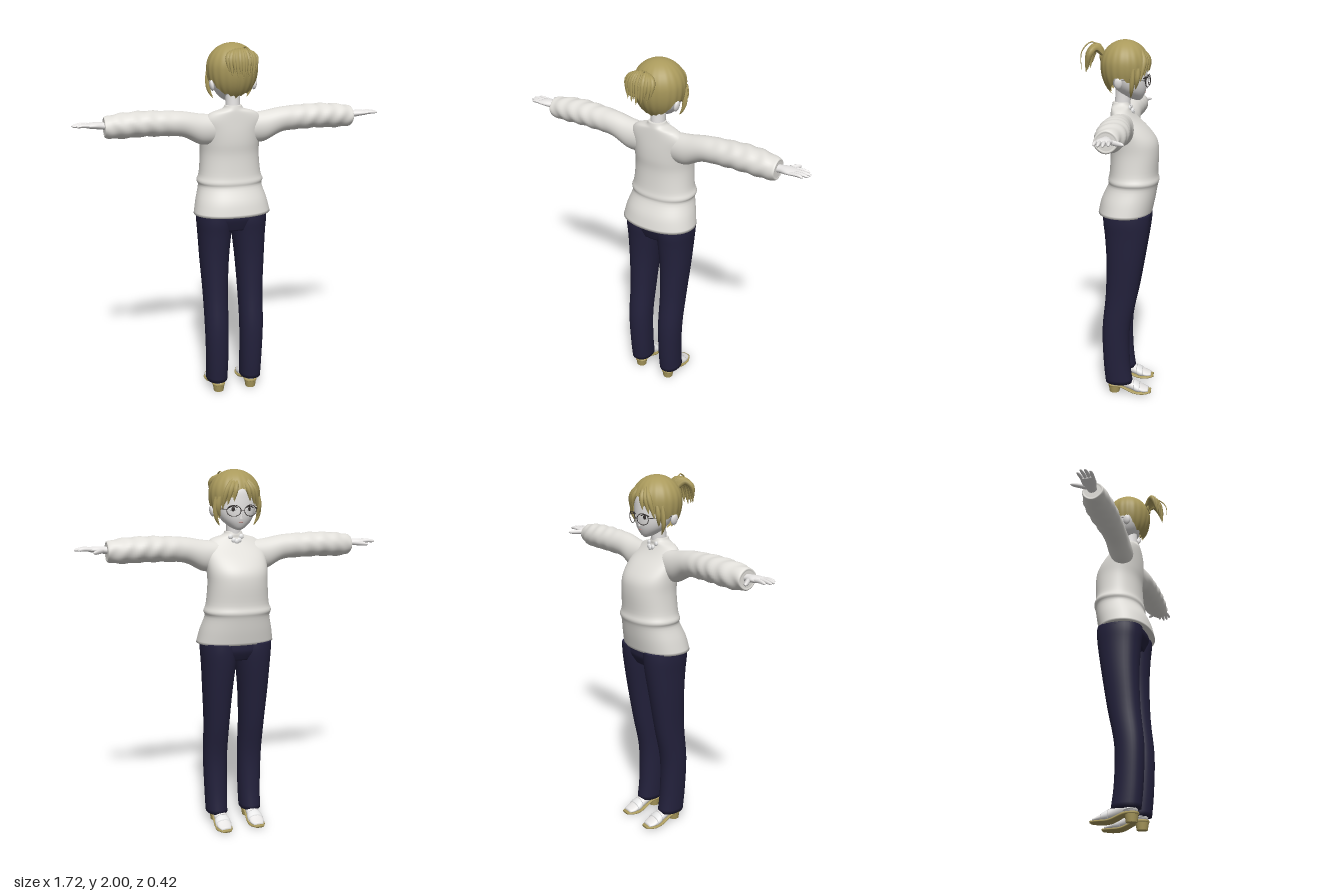
import * as THREE from 'three';

const mat = (name, color, side = THREE.FrontSide) => {
  const m = new THREE.MeshStandardMaterial({ color, side });
  m.name = name;
  return m;
};

// Smooth interpolation through the section rows
function resample(rows, steps) {
  const out = [], n = rows.length - 1;
  for (let i = 0; i < n; i++) {
    for (let s = 0; s < steps; s++) {
      const t = s / steps;
      const p = rows[Math.max(i - 1, 0)], q = rows[i], r = rows[i + 1], w = rows[Math.min(i + 2, n)];
      out.push(q.map((v, k) => {
        const cubic = 3 * (v - r[k]) + w[k] - p[k];
        const square = 2 * p[k] - 5 * v + 4 * r[k] - w[k];
        return v + 0.5 * t * (r[k] - p[k] + t * (square + t * cubic));
      }));
    }
  }
  out.push(rows[n]);
  return out;
}

// Closed skin over sections [h, a, b, ra, rb]; axis y: a = x, b = z; axis x: a = y, b = z
function loft(rows, { axis = 'y', sides = 32, steps = 4, power = 2, wrinkle = () => 0 } = {}) {
  const pos = [], index = [], secs = resample(rows, steps);
  const put = (h, a, b) => (axis === 'y' ? pos.push(a, h, b) : pos.push(h, a, b));
  const dir = axis === 'y' ? 1 : -1;
  const round = v => Math.sign(v) * Math.pow(Math.abs(v), 2 / power);
  for (const [h, a, b, ra, rb] of secs) {
    for (let j = 0; j < sides; j++) {
      const th = (j / sides) * Math.PI * 2, w = 1 + wrinkle(h, th);
      put(h, a + ra * w * round(Math.cos(th)), b + dir * rb * w * round(Math.sin(th)));
    }
  }
  const n = secs.length, first = n * sides;
  put(...secs[0]);
  put(...secs[n - 1]);
  for (let j = 0; j < sides; j++) {
    const k = (j + 1) % sides, top = (n - 1) * sides;
    for (let i = 0; i < n - 1; i++) {
      const r = i * sides, u = r + sides;
      index.push(r + j, u + j, r + k, u + j, u + k, r + k);
    }
    index.push(first, j, k, first + 1, top + k, top + j);
  }
  const g = new THREE.BufferGeometry();
  g.setAttribute('position', new THREE.Float32BufferAttribute(pos, 3));
  g.setIndex(index);
  g.computeVertexNormals();
  return g;
}

// Tube along points whose radius follows profile(t)
function strand(points, radius, profile, segs = 14, radial = 8) {
  const curve = new THREE.CatmullRomCurve3(points.map(p => new THREE.Vector3(...p)));
  const g = new THREE.TubeGeometry(curve, segs, radius, radial);
  const p = g.attributes.position, v = new THREE.Vector3();
  for (let i = 0; i < p.count; i++) {
    const t = Math.floor(i / (radial + 1)) / segs, c = curve.getPointAt(t);
    v.fromBufferAttribute(p, i).sub(c).multiplyScalar(profile(t)).add(c);
    p.setXYZ(i, v.x, v.y, v.z);
  }
  g.computeVertexNormals();
  return g;
}
const lock = t => Math.sqrt(Math.max(1 - t * t, 0)) * (0.6 + 0.4 * Math.sin(Math.PI * t));
const finger = t => Math.sqrt(Math.max(1 - t ** 5, 0));

function mirrored(geo) {
  const g = geo.clone().scale(-1, 1, 1), ix = g.index.array;
  for (let i = 0; i < ix.length; i += 3) [ix[i], ix[i + 1]] = [ix[i + 1], ix[i]];
  g.computeVertexNormals();
  return g;
}

// Hair cap with a face opening and a jagged hem
function hairCap() {
  const hem = [[0, 1.9], [0.35, 1.855], [0.75, 1.815], [1.15, 1.765], [1.5, 1.795], [1.9, 1.8], [2.3, 1.74], [3.15, 1.712]];
  const pos = [], index = [], A = 120, T = 18;
  for (let i = 0; i <= T; i++) {
    for (let j = 0; j < A; j++) {
      const a = (j / A) * Math.PI * 2, d = Math.min(a, Math.PI * 2 - a);
      const k = Math.max(hem.findIndex(h => h[0] >= d), 1);
      const [a0, y0] = hem[k - 1], [a1, y1] = hem[k];
      const low = y0 + (y1 - y0) * (d - a0) / (a1 - a0) + 0.012 * Math.abs(Math.sin(a * 9)) - 1.87;
      const phi = Math.max(i / T, 0.001) * Math.acos(low / (low > 0 ? 0.13 : 0.18));
      const c = Math.cos(phi), r = Math.sin(phi) * (1 + 0.012 * (i / T) * Math.sin(a * 20));
      pos.push(0.138 * r * Math.sin(a), 1.87 + c * (c > 0 ? 0.13 : 0.18), -0.02 - 0.13 * r * Math.cos(a));
      if (i < T) {
        const p = i * A + j, q = i * A + (j + 1) % A;
        index.push(p, q, p + A, q, q + A, p + A);
      }
    }
  }
  const g = new THREE.BufferGeometry();
  g.setAttribute('position', new THREE.Float32BufferAttribute(pos, 3));
  g.setIndex(index);
  g.computeVertexNormals();
  return g;
}

export function createModel() {
  const model = new THREE.Group();
  const skin = mat('skin', 0xe9e7e6), knit = mat('knit', 0xe0ded9), navy = mat('navy', 0x23213c);
  const blond = mat('blond', 0xaa9a5c, THREE.DoubleSide), dark = mat('dark', 0x35302f);
  const white = mat('white', 0xf2f2f2), lip = mat('lip', 0xc79a94);
  const add = (name, geo, m) => {
    const mesh = new THREE.Mesh(geo, m);
    mesh.name = name;
    model.add(mesh);
  };
  const pair = (name, geo, m) => {
    add(name + 'Left', geo, m);
    add(name + 'Right', mirrored(geo), m);
  };

  // Sweater body and sleeves
  add('sweater', loft([
    [1.075, 0, -0.025, 0.216, 0.148], [1.15, 0, -0.042, 0.2, 0.147], [1.225, 0, -0.066, 0.179, 0.136],
    [1.255, 0, -0.07, 0.187, 0.14], [1.295, 0, -0.07, 0.173, 0.132], [1.4, 0, -0.075, 0.164, 0.131],
    [1.47, 0, -0.067, 0.166, 0.128], [1.53, 0, -0.045, 0.168, 0.106], [1.59, 0, -0.015, 0.165, 0.072],
    [1.635, 0, 0, 0.125, 0.053], [1.655, 0, 0, 0.06, 0.05], [1.675, 0, 0, 0.045, 0.045],
  ], { sides: 48, power: 2.2 }), knit);
  pair('sleeve', loft([
    [0.1, 1.545, -0.02, 0.08, 0.06], [0.18, 1.55, -0.018, 0.083, 0.066], [0.28, 1.582, -0.016, 0.068, 0.066],
    [0.4, 1.59, -0.018, 0.067, 0.073], [0.5, 1.592, -0.02, 0.067, 0.078], [0.6, 1.588, -0.018, 0.066, 0.073],
    [0.66, 1.585, -0.012, 0.06, 0.062], [0.69, 1.585, -0.01, 0.052, 0.056], [0.691, 1.585, -0.01, 0.04, 0.044],
  ], {
    axis: 'x', steps: 8,
    wrinkle: (h, th) => 0.035 * THREE.MathUtils.smoothstep(h, 0.25, 0.45) * Math.sin(h * 75 + 2 * Math.sin(th * 2)),
  }), knit);

  // Hands
  pair('palm', loft([
    [0.66, 1.59, -0.01, 0.02, 0.026], [0.7, 1.593, -0.01, 0.019, 0.026], [0.74, 1.597, -0.009, 0.017, 0.038],
    [0.775, 1.598, -0.007, 0.013, 0.038], [0.79, 1.598, -0.007, 0.008, 0.032],
  ], { axis: 'x', sides: 20 }), skin);
  [[-0.035, 0.842], [-0.015, 0.86], [0.004, 0.856], [0.022, 0.835]].forEach(([z, tip], i) =>
    pair('finger' + (i + 1), strand([[0.765, 1.599, z], [0.81, 1.602, z * 1.1], [tip, 1.597, z * 1.2]], 0.0095, finger), skin));
  pair('thumb', strand([[0.71, 1.592, -0.02], [0.74, 1.59, -0.058], [0.772, 1.588, -0.103]], 0.012, finger), skin);

  // Trousers
  add('trouserHips', loft([
    [0.985, 0, -0.037, 0.13, 0.1], [1.03, 0, -0.04, 0.185, 0.12], [1.06, 0, -0.038, 0.197, 0.126], [1.1, 0, -0.038, 0.193, 0.125],
  ], { power: 2.3 }), navy);
  pair('trouserLeg', loft([
    [0.068, 0.102, 0, 0.06, 0.078], [0.2, 0.102, 0.014, 0.063, 0.076], [0.4, 0.104, 0.017, 0.067, 0.078],
    [0.6, 0.104, -0.012, 0.07, 0.088], [0.8, 0.104, -0.032, 0.081, 0.102], [0.95, 0.1, -0.04, 0.092, 0.118],
    [1.03, 0.099, -0.04, 0.098, 0.127], [1.08, 0.099, -0.04, 0.097, 0.127],
  ], { power: 2.2 }), navy);

  // Feet and sandals; sections run from heel to toe
  const along = (rows, opts) => loft(rows, opts).rotateX(-Math.PI / 2);
  pair('ankle', loft([[0.05, 0.1, 0.02, 0.033, 0.036], [0.16, 0.102, 0.02, 0.033, 0.036]], { sides: 20 }), skin);
  pair('foot', along([
    [-0.056, 0.098, 0.068, 0.018, 0.016], [-0.035, 0.098, 0.073, 0.032, 0.03], [0.02, 0.098, 0.07, 0.034, 0.037],
    [0.08, 0.098, 0.045, 0.039, 0.03], [0.135, 0.098, 0.026, 0.042, 0.018], [0.17, 0.098, 0.02, 0.028, 0.01],
  ], { sides: 24 }), skin);
  pair('sole', along([
    [-0.062, 0.098, 0.045, 0.02, 0.007], [-0.04, 0.098, 0.045, 0.037, 0.009], [0.01, 0.098, 0.042, 0.036, 0.009],
    [0.08, 0.098, 0.013, 0.043, 0.008], [0.14, 0.098, 0.009, 0.047, 0.008], [0.185, 0.098, 0.012, 0.025, 0.007],
  ], { sides: 24, power: 3 }), blond);
  pair('heel', new THREE.CylinderGeometry(0.036, 0.029, 0.045, 20).translate(0.098, 0.0225, 0.028), blond);
  pair('toeStrap', along([
    [0.085, 0.098, 0.043, 0.042, 0.031], [0.1, 0.098, 0.037, 0.045, 0.03], [0.12, 0.098, 0.031, 0.046, 0.024],
  ], { sides: 24 }), white);
  pair('heelStrap', new THREE.TorusGeometry(0.036, 0.006, 8, 24).rotateX(1.35).translate(0.098, 0.064, 0.018), white);

  // Neck and blouse ruffle
  add('neck', loft([[1.6, 0, -0.002, 0.042, 0.043], [1.68, 0, -0.008, 0.039, 0.042], [1.78, 0, -0.015, 0.042, 0.045]], { sides: 24 }), skin);
  for (let i = -2; i <= 2; i++) {
    add('ruffle' + (i + 3), new THREE.SphereGeometry(0.014, 12, 8).scale(1, 1, 0.6)
      .translate(i * 0.015, 1.622 + 0.006 * i * i, -0.064 + 0.004 * i * i), white);
  }

  // Head, nose and ears
  add('head', loft([
    [1.686, 0, -0.088, 0.012, 0.014], [1.7, 0, -0.076, 0.042, 0.04], [1.735, 0, -0.055, 0.08, 0.076],
    [1.78, 0, -0.042, 0.102, 0.096], [1.84, 0, -0.033, 0.112, 0.106], [1.9, 0, -0.025, 0.11, 0.107],
    [1.95, 0, -0.02, 0.08, 0.075], [1.975, 0, -0.02, 0.02, 0.02],
  ], { sides: 40 }), skin);
  add('nose', new THREE.ConeGeometry(0.011, 0.035, 12).rotateX(-0.3).translate(0, 1.765, -0.134), skin);
  pair('ear', new THREE.SphereGeometry(0.03, 16, 12).scale(0.4, 1, 0.7).rotateZ(-0.2).translate(0.119, 1.782, 0.003), skin);

  // Painted face and glasses
  const plate = (r, sx, sy, turn, x, y, z) =>
    new THREE.SphereGeometry(r, 20, 12).scale(sx, sy, 0.2).rotateY(turn).translate(x, y, z);
  pair('eyeWhite', plate(0.018, 1.1, 0.7, -0.4, 0.045, 1.797, -0.129), white);
  pair('iris', plate(0.011, 0.9, 1.1, -0.4, 0.045, 1.797, -0.1315), dark);
  pair('upperLash', strand([[0.024, 1.803, -0.139], [0.045, 1.812, -0.136], [0.069, 1.802, -0.121]], 0.003, () => 1, 10, 6), dark);
  add('mouth', plate(0.014, 1, 0.25, 0, 0, 1.727, -0.128), lip);
  pair('glassesRim', new THREE.TorusGeometry(0.034, 0.002, 6, 32).scale(1.1, 0.85, 1).rotateY(-0.25).translate(0.046, 1.788, -0.145), dark);
  pair('glassesTemple', strand([[0.081, 1.795, -0.135], [0.114, 1.798, -0.07], [0.122, 1.798, 0.005]], 0.002, () => 1, 8, 6), dark);
  add('glassesBridge', new THREE.CylinderGeometry(0.002, 0.002, 0.022, 6).rotateZ(Math.PI / 2).translate(0, 1.79, -0.153), dark);

  // Hair: cap, side locks, fringe and ponytail
  add('hairCap', hairCap(), blond);
  pair('sideLock', strand([[0.118, 1.86, -0.075], [0.122, 1.8, -0.07], [0.117, 1.75, -0.066], [0.095, 1.705, -0.06]], 0.015, lock), blond);
  pair('thinLock', strand([[0.108, 1.86, -0.1], [0.113, 1.8, -0.094], [0.103, 1.752, -0.085]], 0.016, lock), blond);
  [[0.045, 1.835], [0.075, 1.815], [0.1, 1.79]].forEach(([x, y], i) =>
    pair('fringe' + (i + 1), strand([[0.015 + i * 0.01, 1.95, -0.105], [x * 0.75, 1.895, -0.142 + i * 0.008], [x, y, -0.145 + i * 0.018]], 0.016, lock), blond));
  add('hairTie', new THREE.TorusGeometry(0.022, 0.008, 8, 20).translate(0, 1.915, 0.105), blond);
  for (let i = -5; i <= 5; i++) {
    const s = i / 5, drop = 0.02 * Math.abs(s) + 0.02 * (i & 1);
    add('ponytail' + (i + 6), strand([
      [s * 0.01, 1.91, 0.085], [s * 0.045, 1.968 - 0.012 * s * s, 0.13],
      [s * 0.075, 1.935, 0.172 - 0.02 * s * s], [s * 0.07, 1.825 + drop, 0.19 - 0.02 * s * s],
    ], 0.017, lock), blond);
  }
  add('ponytailWisp', strand([[0, 1.92, 0.09], [0.02, 1.988, 0.15], [0.03, 1.94, 0.205], [0.02, 1.84, 0.212]], 0.004, lock), blond);
  return model;
}
